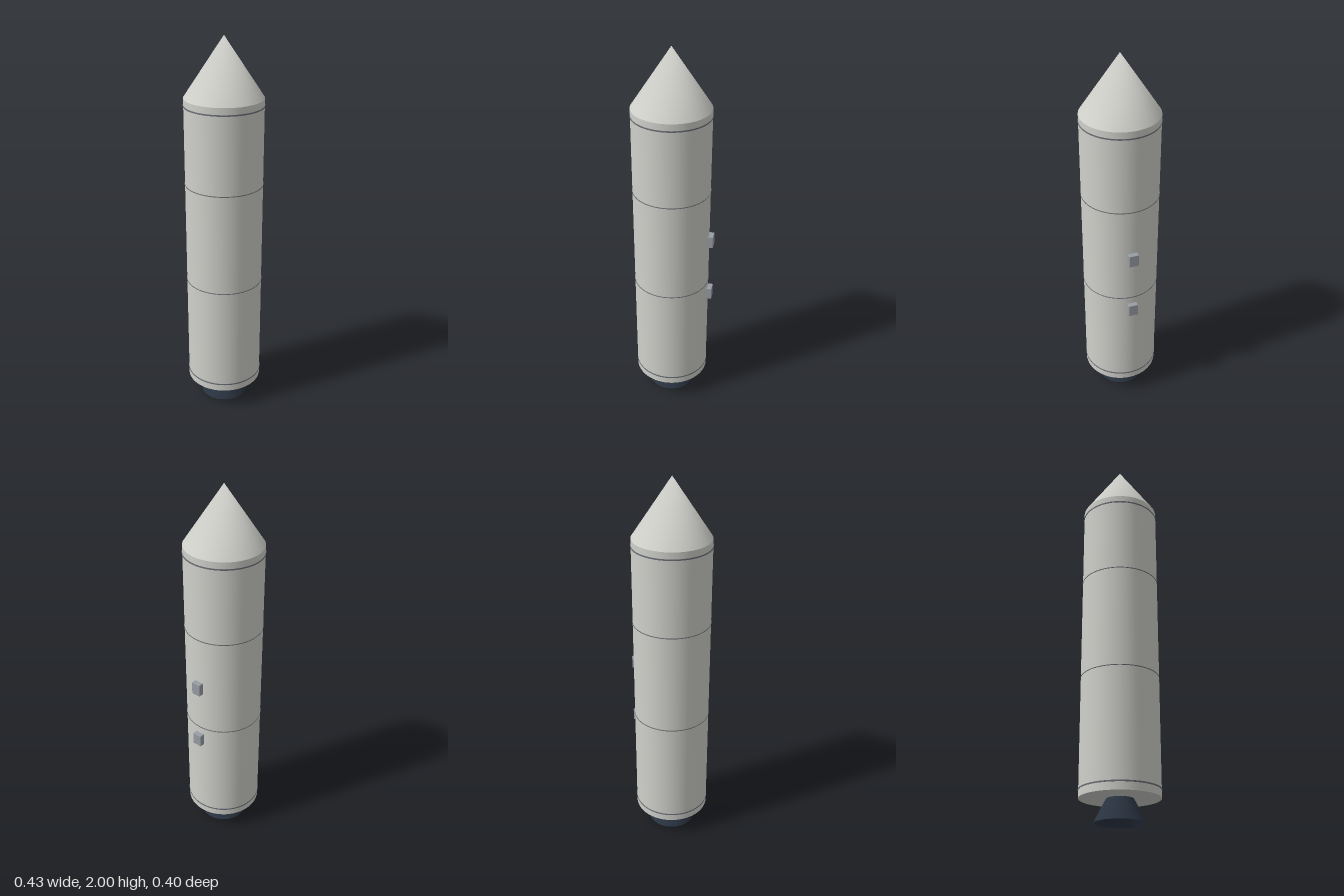
import * as THREE from 'three';
import { mergeVertices } from 'three/addons/utils/BufferGeometryUtils.js';
import { RoundedBoxGeometry } from 'three/addons/geometries/RoundedBoxGeometry.js';

const AXIS_X = -0.0115; // body axis, offset by the side lugs
const R = 0.199;

const material = (name, color) => {
  const m = new THREE.MeshStandardMaterial({ color });
  m.name = name;
  return m;
};

// Cone with one shared tip, so that its shading rounds over at the top
function smoothCone(radius, height) {
  const cone = new THREE.ConeGeometry(radius, height, 64, 1, true);
  cone.deleteAttribute('uv');
  cone.deleteAttribute('normal');
  const merged = mergeVertices(cone);
  merged.computeVertexNormals();
  return merged;
}

export function createModel() {
  const shell = material('pale grey shell', 0xd0d0cb);
  const seam = material('grey seam', 0x6c7177);
  const metal = material('lug metal', 0x989da4);
  const engine = material('dark engine', 0x2a3442);

  const model = new THREE.Group();
  model.name = 'rocketBooster';
  const add = (name, geometry, mat, y, x = AXIS_X) => {
    const mesh = new THREE.Mesh(geometry, mat);
    mesh.name = name;
    mesh.position.set(x, y, 0);
    model.add(mesh);
  };

  // Casing and nose
  add('casing', new THREE.CylinderGeometry(R, R, 1.588, 64), shell, 0.908);
  add('noseCone', smoothCone(R, 0.298), shell, 1.851);

  // Segment seams: thicker at the ends, thin between the segments
  for (const [y, h] of [[0.155, 0.007], [0.72, 0.004], [1.26, 0.004], [1.665, 0.007]]) {
    add('seamRing', new THREE.CylinderGeometry(0.201, 0.201, h, 64), seam, y);
  }

  // Attachment lugs on the left side
  for (const y of [0.645, 0.977]) {
    add('attachmentLug', new RoundedBoxGeometry(0.036, 0.068, 0.052, 2, 0.003), metal, y, 0.1945);
  }

  // Engine bell: closed throat, inner wall, soft rim, outer wall
  const bell = [[0, 0.112], [0.06, 0.112], [0.122, 0], [0.127, 0], [0.066, 0.116]]
    .map(([r, y]) => new THREE.Vector2(r, y));
  add('nozzleBell', new THREE.LatheGeometry(bell, 48), engine, 0);

  return model;
}
